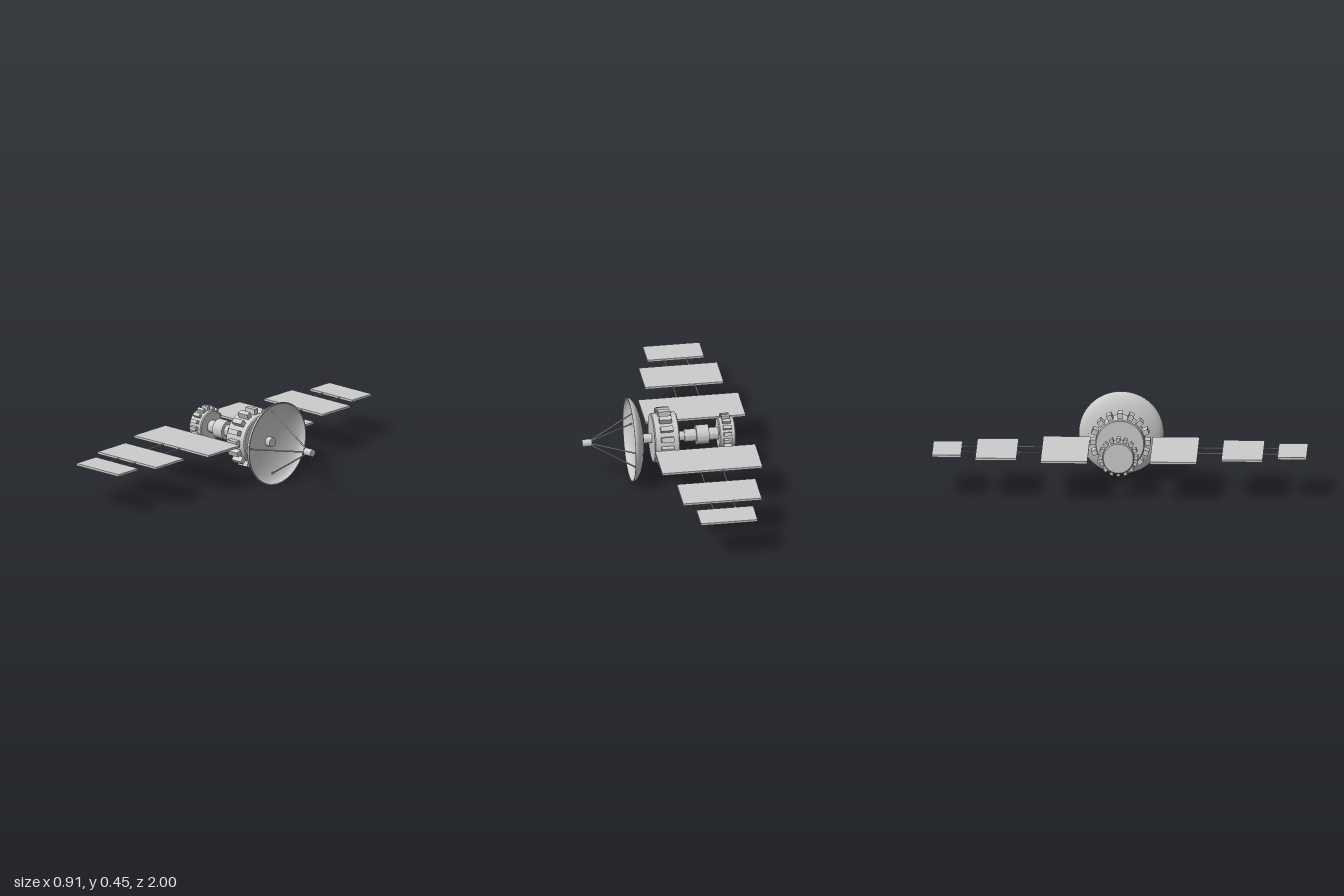
import * as THREE from 'three';
import { toCreasedNormals } from 'three/addons/utils/BufferGeometryUtils.js';

const AXIS_Y = 0.228, AXIS_Z = -0.004;

export function createModel() {
  const model = new THREE.Group();
  model.name = 'satellite';
  const grey = new THREE.MeshStandardMaterial({ color: 0xcccccc });
  const greyDouble = new THREE.MeshStandardMaterial({ color: 0xcccccc, side: THREE.DoubleSide });

  const add = (parent, name, geometry, material = grey) => {
    const mesh = new THREE.Mesh(geometry, material);
    mesh.name = name;
    parent.add(mesh);
    return mesh;
  };
  // Profile of [x, radius] points turned around the x axis
  const turned = (points, sides = 48) => {
    const g = new THREE.LatheGeometry(points.map(([x, r]) => new THREE.Vector2(r, x)), sides);
    return toCreasedNormals(g.rotateZ(-Math.PI / 2), 0.5);
  };
  const rod = (parent, name, a, b, r) => {
    const dir = b.clone().sub(a);
    const mesh = add(parent, name, new THREE.CylinderGeometry(r, r, dir.length(), 10));
    mesh.position.copy(a).add(b).multiplyScalar(0.5);
    mesh.quaternion.setFromUnitVectors(new THREE.Vector3(0, 1, 0), dir.normalize());
  };

  // Everything on the long axis
  const body = new THREE.Group();
  body.name = 'body';
  body.position.set(0, AXIS_Y, AXIS_Z);
  model.add(body);

  // Stepped spine, ending in a stub inside the dish
  add(body, 'spine', turned([
    [-0.3, 0], [-0.3, 0.034], [-0.226, 0.034], [-0.226, 0.052], [-0.158, 0.052], [-0.158, 0.034],
    [-0.095, 0.034], [-0.095, 0.026], [0.165, 0.026], [0.165, 0],
  ]));

  // Drums with a ring of raised blocks
  const drum = (name, x0, x1, r, blockX0, blockX1, blockR, blockWidth) => {
    const group = new THREE.Group();
    group.name = name;
    body.add(group);
    const c = 0.005;
    add(group, name + 'Shell', turned([
      [x0, 0], [x0, r - c], [x0 + c, r], [x1 - c, r], [x1, r - c], [x1, 0],
    ]));
    const depth = blockR - r + 0.01;
    for (let i = 0; i < 16; i++) {
      const g = new THREE.BoxGeometry(blockX1 - blockX0, depth, blockWidth);
      g.translate((blockX0 + blockX1) / 2, blockR - depth / 2, 0);
      add(group, name + 'Block', g).rotation.x = i * Math.PI / 8;
    }
  };
  drum('frontDrum', -0.055, 0.08, 0.132, -0.02, 0.047, 0.162, 0.028);
  drum('rearDrum', -0.364, -0.277, 0.085, -0.341, -0.297, 0.105, 0.019);

  // Dish: outer and inner curve joined at the rim
  const curve = (x, depth, r) => Array.from({ length: 17 }, (_, i) => {
    const a = (i / 16) * Math.PI / 2;
    return [x - depth * Math.cos(a), r * Math.sin(a)];
  });
  add(body, 'dish', turned([...curve(0.2, 0.072, 0.227), ...curve(0.2, 0.066, 0.221).reverse()], 64), greyDouble);

  // Feed horn on four struts
  add(body, 'feedHorn', turned([[0.404, 0], [0.404, 0.02], [0.455, 0.02], [0.455, 0]], 24));
  for (let i = 0; i < 4; i++) {
    const a = i * Math.PI / 2;
    const at = (x, r) => new THREE.Vector3(x, r * Math.cos(a), r * Math.sin(a));
    rod(body, 'feedStrut', at(0.155, 0.177), at(0.415, 0.01), 0.004);
  }

  // Solar wings: three shrinking panels on two thin rods, on both sides
  const panels = [[-0.455, 0.086, 0.167, 0.417], [-0.396, 0.028, 0.547, 0.767], [-0.337, -0.031, 0.845, 1]];
  for (const side of [1, -1]) {
    const wing = new THREE.Group();
    wing.name = side > 0 ? 'frontWing' : 'backWing';
    wing.position.y = AXIS_Y;
    model.add(wing);
    for (const [x0, x1, z0, z1] of panels) {
      add(wing, 'solarPanel', new THREE.BoxGeometry(x1 - x0, 0.012, z1 - z0))
        .position.set((x0 + x1) / 2, 0, side * (z0 + z1) / 2);
    }
    for (const x of [-0.243, -0.123]) {
      rod(wing, 'wingRod', new THREE.Vector3(x, 0, side * 0.3), new THREE.Vector3(x, 0, side * 0.88), 0.0035);
    }
  }
  return model;
}
